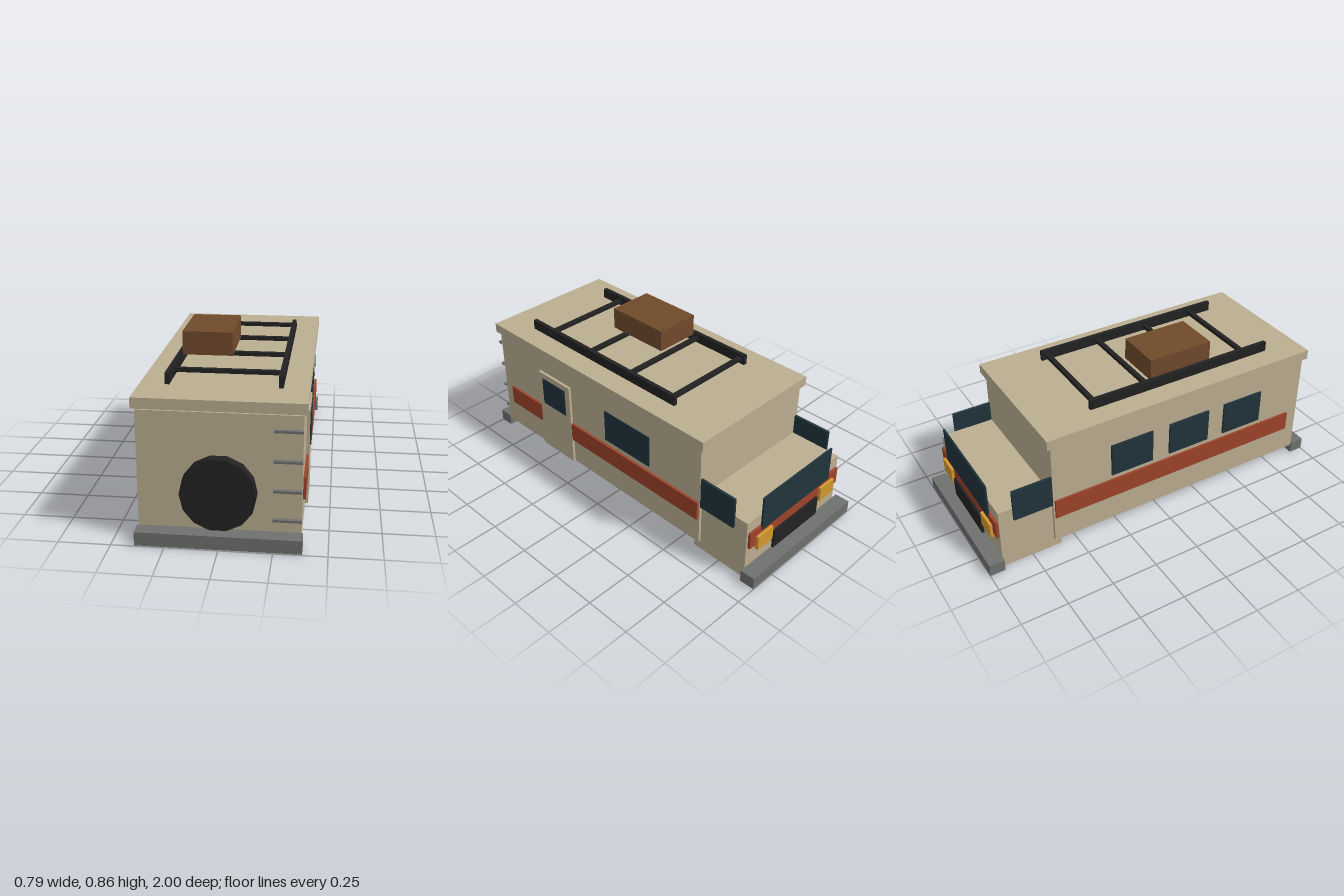
import * as THREE from 'three';

const mat = (name, color) => {
  const m = new THREE.MeshStandardMaterial({ color });
  m.name = name;
  return m;
};

export function createModel() {
  const tan = mat('tan body', 0xbcaf91);
  const red = mat('rust red', 0x9e432a);
  const glass = mat('dark glass', 0x20343b);
  const grey = mat('bumper grey', 0x6f716f);
  const black = mat('black', 0x222222);
  const brown = mat('brown', 0x714a2c);
  const amber = mat('amber', 0xd4982f);

  const model = new THREE.Group();
  model.name = 'camperVan';

  // Box given by its extents along each axis
  const box = (name, material, [x0, x1], [y0, y1], [z0, z1], parent = model) => {
    const mesh = new THREE.Mesh(new THREE.BoxGeometry(x1 - x0, y1 - y0, z1 - z0), material);
    mesh.position.set((x0 + x1) / 2, (y0 + y1) / 2, (z0 + z1) / 2);
    mesh.name = name;
    parent.add(mesh);
    return mesh;
  };
  const group = (name) => {
    const g = new THREE.Group();
    g.name = name;
    model.add(g);
    return g;
  };

  // Living box, overhanging roof slab and low cab
  box('body', tan, [-0.382, 0.376], [0.053, 0.64], [-0.627, 0.92]);
  box('roof', tan, [-0.397, 0.392], [0.651, 0.703], [-0.65, 0.94]);
  box('cab', tan, [-0.364, 0.361], [0, 0.352], [-0.916, -0.585]);

  // Bumpers at both ends
  box('spareWheelBumper', grey, [-0.389, 0.383], [0.004, 0.071], [0.92, 1]);
  box('cabBumper', grey, [-0.397, 0.392], [0.004, 0.071], [-1, -0.918]);

  // Side stripes
  box('leftStripe', red, [0.375, 0.389], [0.207, 0.315], [-0.62, 0.85]);
  box('rightStripe', red, [-0.394, -0.381], [0.207, 0.315], [-0.62, 0.85]);

  // Door with its window
  const door = group('door');
  box('doorPanel', tan, [0.375, 0.391], [0.055, 0.548], [0.32, 0.575], door);
  box('doorWindow', glass, [0.39, 0.396], [0.355, 0.515], [0.356, 0.54], door);

  // Side windows
  box('leftWindow', glass, [0.375, 0.381], [0.346, 0.531], [-0.28, 0.05]);
  for (const z of [-0.172, 0.175, 0.519]) {
    box('rightWindow', glass, [-0.393, -0.381], [0.346, 0.531], [z - 0.122, z + 0.122]);
  }

  // Cab windows rise above the cab top
  box('cabWindowLeft', glass, [0.36, 0.373], [0.284, 0.461], [-0.84, -0.626]);
  box('cabWindowRight', glass, [-0.378, -0.363], [0.284, 0.461], [-0.84, -0.626]);
  box('windshield', glass, [-0.27, 0.267], [0.265, 0.461], [-0.934, -0.924]);

  // Cab face: stripe, grille and lights
  box('cabStripe', red, [-0.355, 0.35], [0.19, 0.285], [-0.93, -0.915]);
  box('grille', black, [-0.18, 0.175], [0.09, 0.2], [-0.942, -0.93]);
  for (const x of [-0.252, 0.248]) {
    box('headlight', amber, [x - 0.057, x + 0.057], [0.165, 0.247], [-0.945, -0.925]);
  }

  // Spare wheel, a fourteen-sided disc
  const wheelGeo = new THREE.CylinderGeometry(0.177, 0.177, 0.056, 14).toNonIndexed();
  wheelGeo.rotateY(Math.PI / 2).rotateX(Math.PI / 2);
  wheelGeo.computeVertexNormals();
  const wheel = new THREE.Mesh(wheelGeo, black);
  wheel.name = 'spareWheel';
  wheel.position.set(-0.003, 0.262, 0.947);
  model.add(wheel);

  // Ladder rungs
  const ladder = group('ladder');
  for (let i = 0; i < 4; i++) {
    const y = 0.139 + i * 0.1443;
    box('rung', grey, [0.245, 0.376], [y - 0.006, y + 0.006], [0.93, 0.95], ladder);
  }

  // Roof rack and luggage
  const rack = group('roofRack');
  for (const x of [-0.267, 0.261]) {
    box('rackRail', black, [x - 0.011, x + 0.011], [0.703, 0.757], [-0.348, 0.738], rack);
  }
  for (let i = 0; i < 4; i++) {
    const z = -0.318 + i * 0.304;
    box('rackBar', black, [-0.281, 0.275], [0.722, 0.742], [z - 0.012, z + 0.012], rack);
  }
  box('luggageBox', brown, [-0.257, -0.006], [0.742, 0.861], [0.014, 0.376]);

  return model;
}
